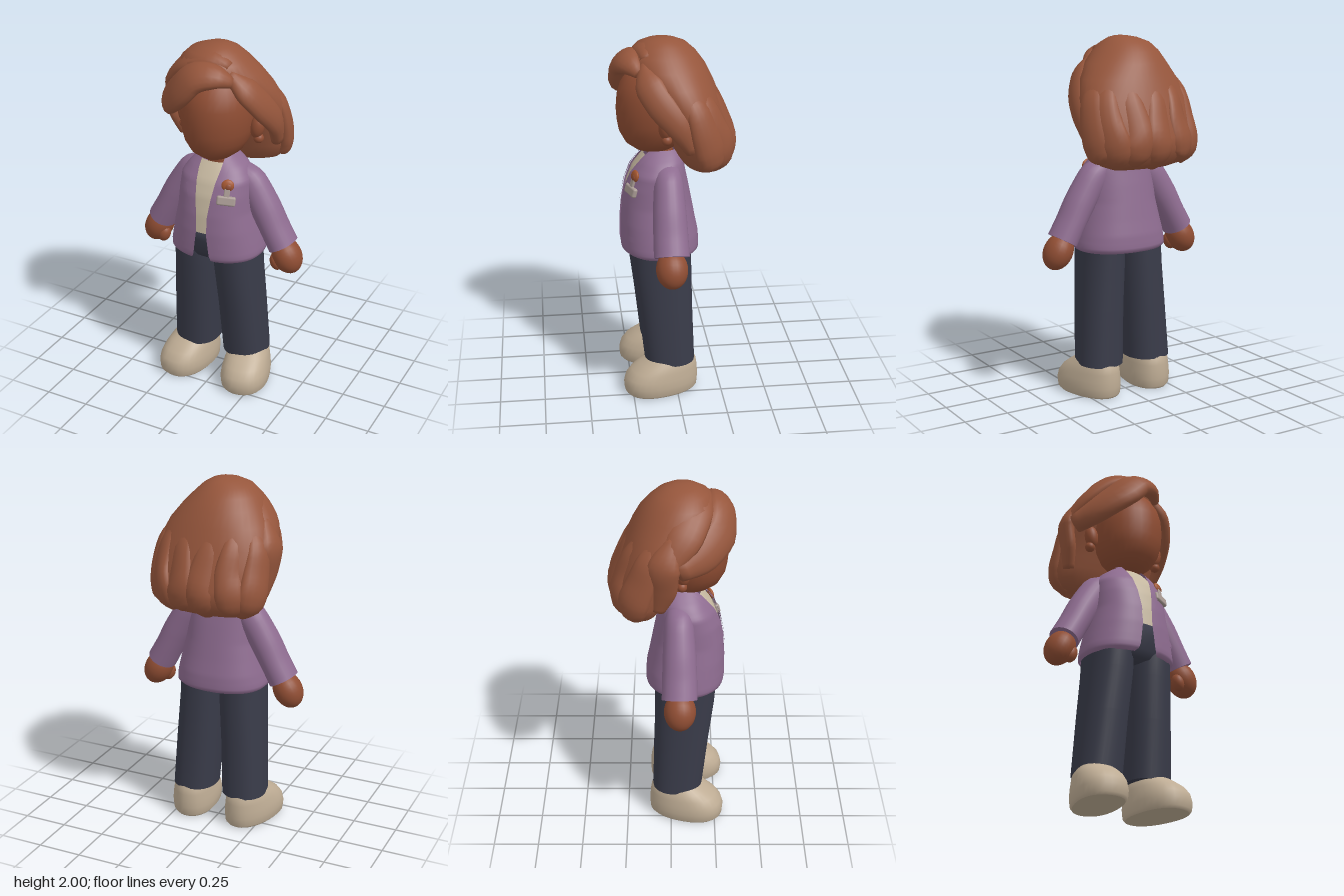
import * as THREE from 'three';
import { RoundedBoxGeometry } from 'three/addons/geometries/RoundedBoxGeometry.js';

const paint = (name, color) => Object.assign(new THREE.MeshStandardMaterial({ color }), { name });
const M = {
  skin: paint('brown skin', 0x8f4d33),
  hair: paint('auburn hair', 0x96563c),
  jacket: paint('mauve jacket', 0x8e6c90),
  trousers: paint('navy trousers', 0x393b49),
  shoe: paint('beige shoe', 0xbeac94),
  shirt: paint('cream shirt', 0xc8baa2),
  silver: paint('grey clip', 0xa99b94),
  copper: paint('copper badge', 0xa3562f),
};
M.jacket.side = M.shirt.side = THREE.DoubleSide;

const V = (x, y, z) => new THREE.Vector3(x, y, z);

function mesh(name, geo, mat, parent) {
  const m = new THREE.Mesh(geo, mat);
  m.name = name;
  parent.add(m);
  return m;
}

// Skin a list of point rows; closed rows wrap around.
function skin(rows, closed) {
  const n = rows[0].length, pos = [], idx = [];
  rows.forEach(r => r.forEach(p => pos.push(p.x, p.y, p.z)));
  for (let i = 0; i < rows.length - 1; i++) {
    for (let j = 0; j < (closed ? n : n - 1); j++) {
      const k = (j + 1) % n, a = i * n + j, b = i * n + k;
      idx.push(a, b, b + n, a, b + n, a + n);
    }
  }
  const g = new THREE.BufferGeometry();
  g.setAttribute('position', new THREE.Float32BufferAttribute(pos, 3));
  g.setIndex(idx);
  g.computeVertexNormals();
  return g;
}

// Close both ends of a ring stack; sharp repeats the end ring for a hard edge.
function capped(rings, sharp) {
  const hub = r => {
    const c = V(0, 0, 0);
    r.forEach(p => c.addScaledVector(p, 1 / r.length));
    return r.map(() => c.clone());
  };
  const a = rings[0], b = rings[rings.length - 1];
  return skin(sharp ? [hub(a), a, ...rings, b, hub(b)] : [hub(a), ...rings, hub(b)], true);
}

// Interpolate columns of a table sorted by its first column.
function at(table, t) {
  let i = 0;
  while (i < table.length - 2 && t > table[i + 1][0]) i++;
  const f = THREE.MathUtils.clamp((t - table[i][0]) / (table[i + 1][0] - table[i][0]), 0, 1);
  return table[i].map((v, c) => v + (table[i + 1][c] - v) * f);
}

// Profile rows are [y, centre z, radius x, radius z, centre x]; angle 0 is the front.
const pow = (v, p) => Math.sign(v) * Math.abs(v) ** p;
function surf(table, y, a, p = 1, off = 0) {
  const [, cz, rx, rz, cx = 0] = at(table, y);
  return V(cx + (rx + off) * pow(Math.sin(a), p), y, cz + (rz + off) * pow(Math.cos(a), p));
}
function loft(table, { p = 1, seg = 32, off = 0, sharp = false } = {}) {
  const rings = table.map(r =>
    Array.from({ length: seg }, (_, j) => surf(table, r[0], j / seg * Math.PI * 2, p, off)));
  return capped(rings, sharp);
}

// Sweep an ellipse along a curve; sizes are [width, thickness], out gives the thickness direction.
function sweep(points, sizes, out, sharp = false, steps = 18, seg = 16) {
  const curve = new THREE.CatmullRomCurve3(points);
  const table = sizes.map((s, i) => [i / (sizes.length - 1), ...s]);
  const rings = [];
  for (let i = 0; i <= steps; i++) {
    const t = i / steps, p = curve.getPoint(t), d = curve.getTangent(t);
    const v = out(p).addScaledVector(d, -out(p).dot(d)).normalize();
    const u = d.clone().cross(v), [, w, h] = at(table, t);
    rings.push(Array.from({ length: seg }, (_, j) => {
      const a = j / seg * Math.PI * 2;
      return p.clone().addScaledVector(u, w * Math.sin(a)).addScaledVector(v, h * Math.cos(a));
    }));
  }
  return capped(rings, sharp);
}

function ball(name, mat, parent, [x, y, z], [rx, ry, rz], tilt = 0) {
  const m = mesh(name, new THREE.SphereGeometry(1, 24, 16), mat, parent);
  m.position.set(x, y, z);
  m.scale.set(rx, ry, rz);
  m.rotation.z = tilt;
}

// Jacket profile: the fifth column here is the half width of the front opening.
const coat = [
  [0.826, 0.075, 0.248, 0.2, 0.07], [0.84, 0.076, 0.262, 0.216, 0.056], [0.865, 0.078, 0.262, 0.218, 0.047],
  [0.92, 0.08, 0.252, 0.216, 0.04], [1.0, 0.0875, 0.235, 0.207, 0.03], [1.1, 0.092, 0.213, 0.193, 0.034],
  [1.2, 0.092, 0.206, 0.174, 0.046], [1.28, 0.085, 0.2, 0.15, 0.056], [1.34, 0.068, 0.16, 0.125, 0.064],
  [1.38, 0.06, 0.11, 0.102, 0.064], [1.4, 0.06, 0.082, 0.085, 0.06]];
const coatBody = coat.map(r => r.slice(0, 4));
const P = 0.87;
const angleAt = (y, x) => Math.asin(Math.min(0.98, (x / at(coat, y)[2]) ** (1 / P)));
const opening = y => angleAt(y, at(coat, y)[4]);
function coatPatch(y0, y1, a0, a1, off, nx = 8, ny = 20) {
  const rows = [];
  for (let i = 0; i <= ny; i++) {
    const y = y0 + (y1 - y0) * i / ny, from = a0(y), to = a1(y);
    rows.push(Array.from({ length: nx + 1 }, (_, j) => surf(coatBody, y, from + (to - from) * j / nx, P, off)));
  }
  return skin(rows, false);
}

function addClothes(g) {
  mesh('jacketBody', coatPatch(0.826, 1.4, opening, y => Math.PI * 2 - opening(y), 0, 56, 41), M.jacket, g);
  mesh('shirt', coatPatch(0.995, 1.37, y => -opening(y) - 0.25, y => opening(y) + 0.25, -0.01), M.shirt, g);
  const lapel = [[1.07, 0.037], [1.25, 0.118], [1.275, 0.088], [1.29, 0.103], [1.36, 0.1], [1.4, 0.08]];
  for (const s of [-1, 1]) {
    const side = s > 0 ? 'left' : 'right';
    const span = (y0, y1, xa, xb, off) => s > 0
      ? coatPatch(y0, y1, y => angleAt(y, xa(y)), y => angleAt(y, xb(y)), off)
      : coatPatch(y0, y1, y => -angleAt(y, xb(y)), y => -angleAt(y, xa(y)), off);
    mesh(side + 'Lapel', span(1.07, 1.395, y => at(coat, y)[4], y => at(lapel, y)[1], 0.006), M.jacket, g);
    mesh(side + 'PocketFlap', span(0.92, 0.95, () => 0.1, () => 0.2, 0.005), M.jacket, g);

    // Sleeve with a sloping shoulder, and mitten hand
    mesh(side + 'Sleeve', sweep([V(s * 0.09, 1.33, 0.045), V(s * 0.17, 1.25, 0.042), V(s * 0.262, 1.11, 0.044), V(s * 0.322, 1.0, 0.045), V(s * 0.374, 0.905, 0.045)],
      [[0.03, 0.06], [0.085, 0.08], [0.085, 0.09], [0.08, 0.094], [0.082, 0.096]], () => V(0, 0, 1), true, 18, 24), M.jacket, g);
    ball(side + 'Hand', M.skin, g, [s * 0.4, 0.845, 0.047], [0.08, 0.105, 0.086], s * 0.5);
    ball(side + 'Thumb', M.skin, g, [s * 0.352, 0.81, 0.08], [0.036, 0.05, 0.038], s * 0.3);

    // Trouser leg and shoe
    const leg = [[0.18, 0.035, 0.127, 0.14, s * 0.154], [0.5, 0.058, 0.125, 0.152, s * 0.138],
      [0.74, 0.075, 0.124, 0.165, s * 0.122], [0.86, 0.08, 0.122, 0.168, s * 0.12]];
    mesh(side + 'TrouserLeg', loft(leg, { p: 0.88, sharp: true }), M.trousers, g);
    const shoe = loft([[0, 0.09, 0.12, 0.195], [0.015, 0.09, 0.132, 0.208], [0.06, 0.09, 0.136, 0.212], [0.1, 0.085, 0.132, 0.206],
      [0.14, 0.07, 0.124, 0.188], [0.175, 0.048, 0.115, 0.16], [0.212, 0.03, 0.095, 0.12]], { p: 0.88, sharp: true });
    const pos = shoe.attributes.position;
    for (let i = 0; i < pos.count; i++) pos.setX(i, pos.getX(i) * (0.95 + 0.5 * pos.getZ(i)));
    shoe.computeVertexNormals();
    const m = mesh(side + 'Shoe', shoe, M.shoe, g);
    m.position.x = s * 0.165;
    m.rotation.y = s * 0.2;
  }
  mesh('trouserWaist', loft([[0.805, 0.08, 0.13, 0.1], [0.82, 0.08, 0.215, 0.15], [0.86, 0.08, 0.237, 0.172],
    [0.94, 0.085, 0.228, 0.19], [1.01, 0.088, 0.205, 0.187]], { p: 0.9 }), M.trousers, g);

  // Badge clipped to the chest: a grey clip below a small round portrait
  const badge = new THREE.Group();
  badge.name = 'badge';
  badge.position.set(0.124, 1.198, 0.239);
  badge.rotation.set(-0.25, 0.42, 0);
  g.add(badge);
  mesh('badgePlate', new RoundedBoxGeometry(0.102, 0.052, 0.028, 3, 0.011), M.silver, badge);
  mesh('badgeStrap', new RoundedBoxGeometry(0.032, 0.06, 0.016, 2, 0.006), M.silver, badge).position.set(0, 0.04, 0.002);
  ball('badgePortrait', M.copper, badge, [0, 0.084, -0.002], [0.034, 0.032, 0.014]);
  ball('badgePortraitFace', M.skin, badge, [0.004, 0.078, 0.006], [0.018, 0.018, 0.009]);
}

function addHead(g) {
  mesh('neck', loft([[1.28, 0.06, 0.066, 0.07], [1.45, 0.075, 0.066, 0.07]]), M.skin, g);
  mesh('head', loft([[1.385, 0.11, 0.04, 0.05], [1.4, 0.105, 0.085, 0.1], [1.44, 0.1, 0.137, 0.158], [1.5, 0.095, 0.172, 0.195],
    [1.56, 0.09, 0.189, 0.211], [1.63, 0.09, 0.195, 0.216], [1.7, 0.09, 0.192, 0.21], [1.76, 0.088, 0.178, 0.195],
    [1.82, 0.085, 0.145, 0.16], [1.86, 0.08, 0.09, 0.1]]), M.skin, g);
  for (const s of [-1, 1]) {
    ball('ear', M.skin, g, [s * 0.216, 1.575, 0.06], [0.038, 0.065, 0.038], -s * 0.15);
    ball('earring', M.skin, g, [s * 0.222, 1.51, 0.055], [0.028, 0.028, 0.028]);
  }
}

function addHair(g) {
  const bob = [
    [1.302, -0.145, 0.18, 0.06, -0.01], [1.33, -0.155, 0.262, 0.118, -0.012], [1.37, -0.16, 0.306, 0.15, -0.015],
    [1.42, -0.156, 0.325, 0.172, -0.015], [1.48, -0.145, 0.327, 0.186, -0.013], [1.58, -0.105, 0.332, 0.191, -0.008],
    [1.68, -0.063, 0.325, 0.198, -0.014], [1.78, -0.008, 0.285, 0.212, -0.014], [1.86, 0.033, 0.235, 0.213, -0.022],
    [1.92, 0.05, 0.188, 0.185, -0.032], [1.965, 0.055, 0.14, 0.14, -0.032], [1.99, 0.058, 0.085, 0.09, -0.02],
    [2, 0.06, 0.04, 0.045, -0.01]];
  mesh('hairBob', loft(bob, { off: -0.006, seg: 40 }), M.hair, g);
  const out = p => p.clone().sub(V(0, 1.62, 0.04));

  // Broad uneven curls at the back: [angle from the back, tip height]
  for (const [k, tip] of [[-1.38, 1.36], [-0.92, 1.33], [-0.41, 1.345], [0.1, 1.32], [0.65, 1.345], [1.22, 1.33]]) {
    const path = [1.8, 1.68, 1.56, 1.46, 1.39, tip].map((y, i) =>
      surf(bob, y, Math.PI + k + 0.05 * Math.sin(i * 1.3 + k * 4), 1, -0.04));
    mesh('backCurl', sweep(path, [[0.03, 0.012], [0.07, 0.036], [0.085, 0.045], [0.092, 0.052], [0.08, 0.05], [0.04, 0.028]], out), M.hair, g);
  }

  // Swept fringe from the parting, with the locks that frame both cheeks
  mesh('fringe', sweep([V(0.13, 1.85, 0.19), V(0.06, 1.885, 0.235), V(-0.04, 1.87, 0.255), V(-0.135, 1.785, 0.245), V(-0.235, 1.7, 0.155), V(-0.305, 1.645, 0.03)],
    [[0.03, 0.025], [0.07, 0.045], [0.095, 0.055], [0.112, 0.055], [0.102, 0.055], [0.06, 0.05]], out), M.hair, g);
  mesh('crownWave', sweep([V(0.1, 1.91, 0.15), V(0, 1.945, 0.14), V(-0.13, 1.91, 0.12), V(-0.25, 1.8, 0.06), V(-0.32, 1.66, -0.04)],
    [[0.03, 0.03], [0.08, 0.04], [0.1, 0.045], [0.1, 0.045], [0.06, 0.035]], out), M.hair, g);
  mesh('rightCheekLock', sweep([V(-0.26, 1.8, 0.01), V(-0.32, 1.67, -0.04), V(-0.305, 1.53, -0.045), V(-0.285, 1.41, -0.07)],
    [[0.04, 0.03], [0.09, 0.042], [0.075, 0.04], [0.04, 0.03]], out), M.hair, g);
  mesh('leftCheekLock', sweep([V(0.1, 1.88, 0.16), V(0.19, 1.8, 0.14), V(0.25, 1.7, 0.075), V(0.28, 1.59, -0.015), V(0.268, 1.46, -0.08)],
    [[0.03, 0.03], [0.08, 0.045], [0.082, 0.045], [0.072, 0.042], [0.04, 0.035]], out), M.hair, g);
}

export function createModel() {
  const model = new THREE.Group();
  model.name = 'standingFigure';
  for (const [name, build] of [['clothes', addClothes], ['head', addHead], ['hair', addHair]]) {
    const part = new THREE.Group();
    part.name = name;
    build(part);
    model.add(part);
  }
  return model;
}
